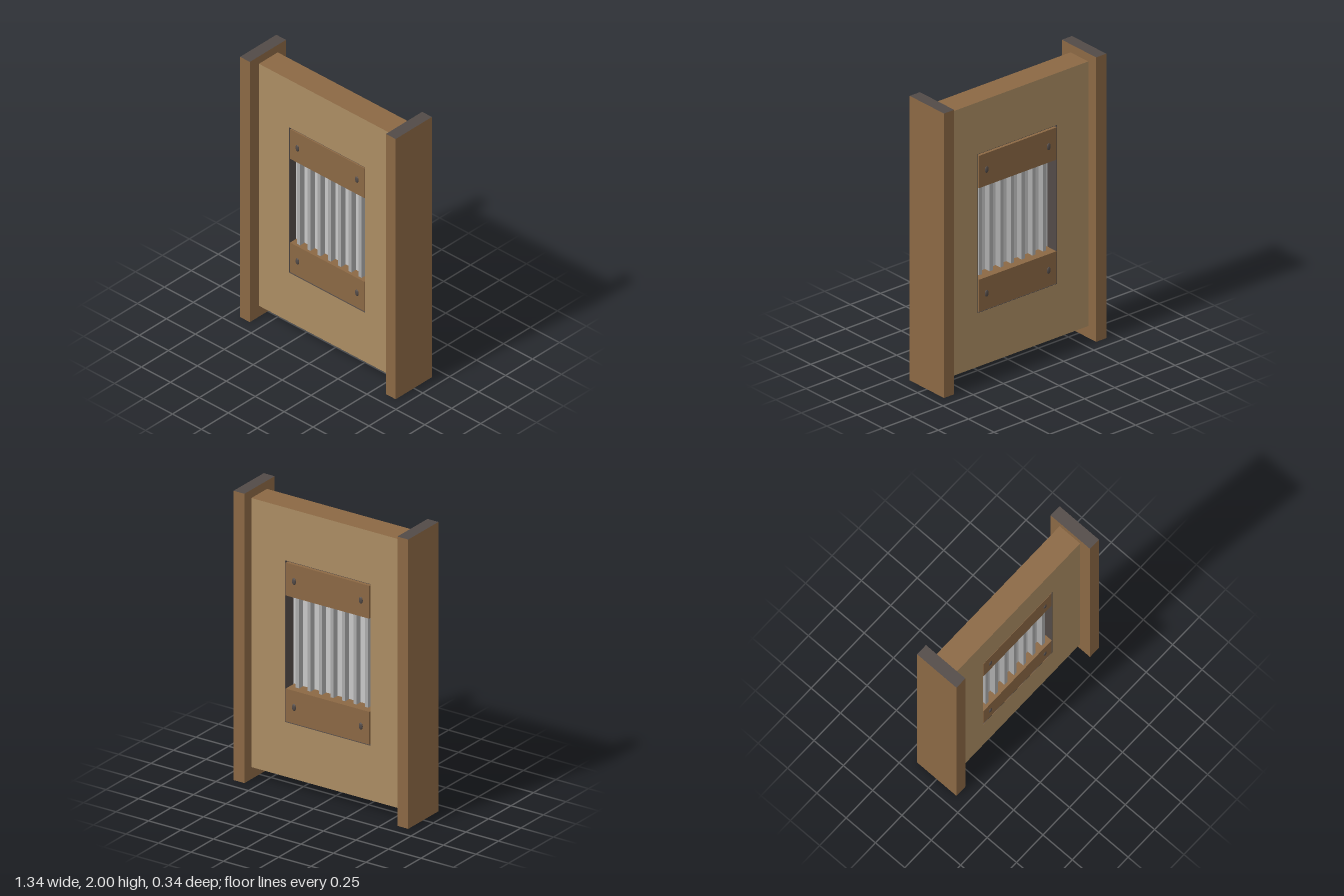
import * as THREE from 'three';

const mat = (name, color) => {
  const m = new THREE.MeshStandardMaterial({ color });
  m.name = name;
  return m;
};

export function createModel() {
  const root = new THREE.Group();
  root.name = 'barredDoor';
  const wood = mat('brown wood', 0x8b6844);
  const paleWood = mat('pale wood', 0xab8d63);
  const dark = mat('dark metal', 0x524a47);
  const sheetGray = mat('light gray', 0xc9c9c9);
  const barGray = mat('bar gray', 0xacacac);

  // box given by its min and max corners
  const box = (name, material, x0, x1, y0, y1, z0, z1, parent = root) => {
    const m = new THREE.Mesh(new THREE.BoxGeometry(x1 - x0, y1 - y0, z1 - z0), material);
    m.position.set((x0 + x1) / 2, (y0 + y1) / 2, (z0 + z1) / 2);
    m.name = name;
    parent.add(m);
    return m;
  };

  // side posts with dark end grain on top and bottom
  const postMats = [wood, wood, dark, dark, wood, wood];
  box('leftPost', postMats, 0.588, 0.672, 0, 2, -0.168, 0.168);
  box('rightPost', postMats, -0.672, -0.588, 0, 2, -0.168, 0.168);

  // door panel with a rectangular window
  const zBack = -0.091, zFront = 0.083;
  const W = 0.329, y0 = 0.46, y1 = 1.578;
  const shape = new THREE.Shape();
  shape.moveTo(-0.588, 0.083).lineTo(0.588, 0.083).lineTo(0.588, 1.943).lineTo(-0.588, 1.943).closePath();
  const hole = new THREE.Path();
  hole.moveTo(-W, y0).lineTo(-W, y1).lineTo(W, y1).lineTo(W, y0).closePath();
  shape.holes.push(hole);
  const panel = new THREE.Mesh(
    new THREE.ExtrudeGeometry(shape, { depth: zFront - zBack, bevelEnabled: false }),
    [paleWood, wood]
  );
  panel.position.z = zBack;
  panel.name = 'doorPanel';
  root.add(panel);

  // thin dark lining of the window
  const lining = new THREE.Group();
  lining.name = 'windowLining';
  root.add(lining);
  const t = 0.003, lb = zBack + 0.001, lf = zFront - 0.001;
  box('liningRight', dark, -W, -W + t, y0, y1, lb, lf, lining);
  box('liningLeft', dark, W - t, W, y0, y1, lb, lf, lining);
  box('liningBottom', dark, -W + t, W - t, y0, y0 + t, lb, lf, lining);
  box('liningTop', dark, -W + t, W - t, y1 - t, y1, lb, lf, lining);

  // sheet closing the window, with upright bars running through it
  box('windowSheet', sheetGray, -W + t, W - t, y0 + t, y1 - t, 0, 0.02);
  const bars = new THREE.Group();
  bars.name = 'windowBars';
  root.add(bars);
  for (let i = -3; i <= 3; i++) {
    const x = i * 0.0885;
    box('bar', barGray, x - 0.013, x + 0.013, 0.6, 1.44, -0.045, 0.062, bars);
  }

  // cover boards above and below the bars, bolted on both faces
  const boltGeo = new THREE.SphereGeometry(1, 16, 10);
  for (const [side, zIn, zOut] of [['front', 0.02, 0.082], ['back', 0, -0.095]]) {
    for (const [place, a, b, boltY] of [['Top', 1.338, 1.565, 1.45], ['Bottom', 0.468, 0.694, 0.58]]) {
      box(side + place + 'Board', wood, -0.321, 0.321, a, b, Math.min(zIn, zOut), Math.max(zIn, zOut));
      for (const s of [-1, 1]) {
        const bolt = new THREE.Mesh(boltGeo, dark);
        bolt.scale.set(0.015, 0.024, 0.008);
        bolt.position.set(s * 0.257, boltY, zOut);
        bolt.name = side + place + 'Bolt';
        root.add(bolt);
      }
    }
  }
  return root;
}
